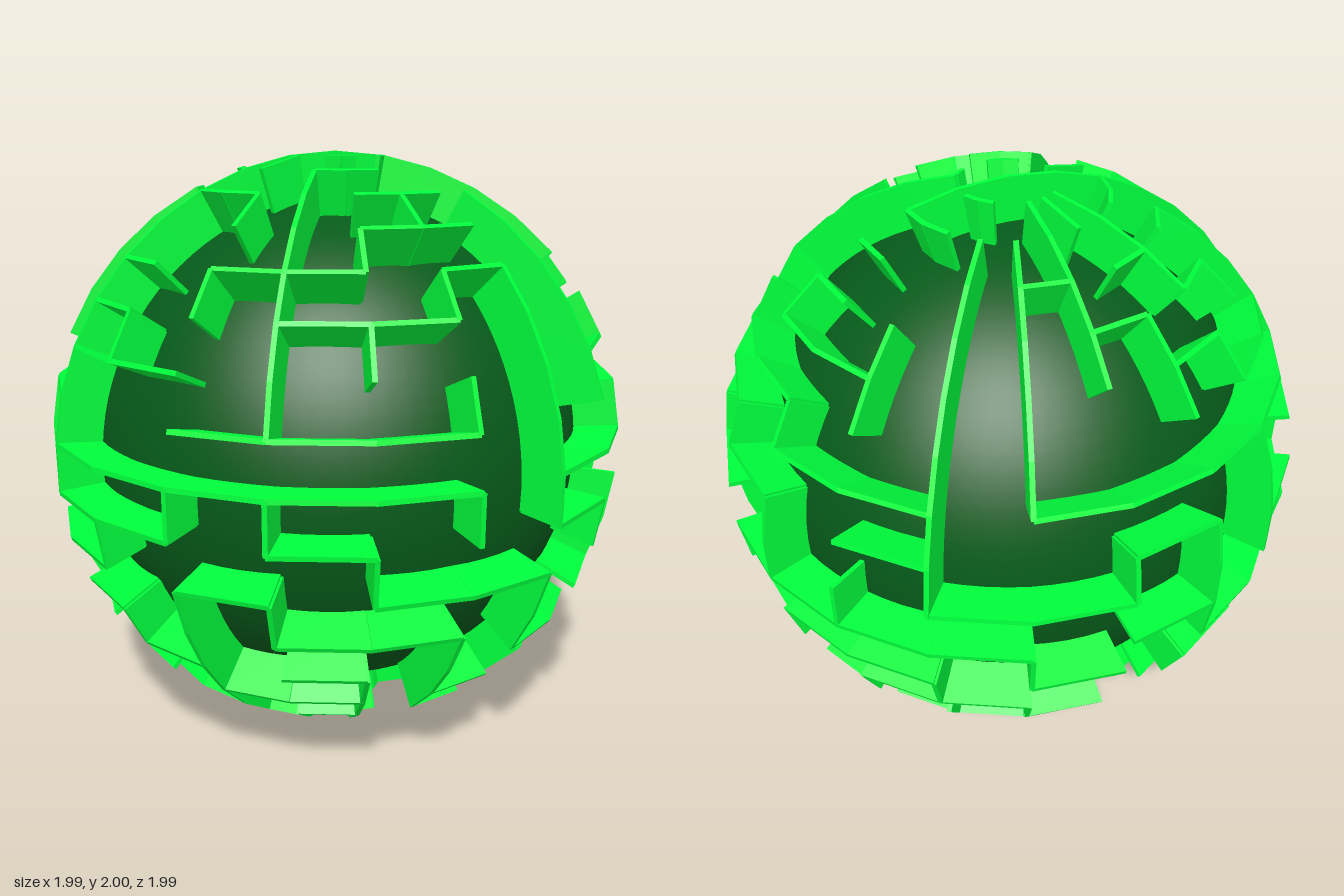
import * as THREE from 'three';
import { mergeGeometries } from 'three/addons/utils/BufferGeometryUtils.js';

const COLS = 20, ROWS = 19;           // maze grid on the sphere
const OUTER = 1, INNER = 0.83, THICK = 0.016;

// ring walls: [ring line, from meridian, to meridian]; spokes: [meridian, from ring, to ring]
// ring line 0 is the north pole; meridian 0 faces the front, counted towards +x
const regions = {
  front: {
    rings: [[3, -1, 1], [4, -1, 1], [5, 0, 1], [5, -2, -1], [6, -2, 0], [8, -3, 0], [9, -5, 0], [9, 1, 3],
      [10, -2, -1], [10, 1, 2], [11, -1, 1], [11, -3, -2], [12, -2, 0], [12, 2, 3], [13, 1, 3],
      [13, -2, -1], [14, -3, -1], [14, 0, 1], [14, 2, 3], [15, -2, -1], [15, 0, 1], [17, -1, 0]],
    spokes: [[0, 3, 4], [0, 5, 6], [0, 7, 8], [0, 9, 10], [0, 12, 15], [1, 5, 10], [1, 11, 13], [2, 3, 8],
      [2, 10, 11], [3, 10, 12], [-2, 2, 8], [-1, 4, 5], [-1, 6, 7], [-2, 9, 10], [-1, 10, 11],
      [-2, 11, 12], [-3, 11, 13], [-1, 13, 16], [2, 14, 16]],
  },
  right: {
    rings: [[4, 5, 6], [5, 3, 4], [5, 5, 7], [6, 4, 6], [7, 2, 5], [7, 6, 8], [8, 3, 4], [8, 5, 6], [8, 7, 8],
      [9, 4, 5], [10, 5, 9], [11, 6, 8], [12, 4, 6], [12, 7, 9], [13, 6, 7], [14, 4, 6],
      [15, 3, 4], [15, 5, 9], [16, 6, 8], [17, 4, 5]],
    spokes: [[3, 1, 5], [3, 6, 7], [3, 8, 9], [4, 5, 6], [4, 8, 13], [5, 4, 5], [5, 7, 8], [5, 10, 11],
      [5, 13, 14], [4, 14, 16], [6, 6, 7], [6, 8, 10], [6, 11, 12], [7, 4, 6], [7, 9, 10], [7, 12, 13],
      [7, 14, 15], [8, 2, 9], [8, 11, 12], [8, 13, 14], [6, 13, 14]],
  },
  back: {
    rings: [[3, 9, 10], [3, 11, 12], [3, 13, 14], [4, 10, 11], [4, 12, 13], [5, 11, 12], [6, 12, 14], [7, 9, 14],
      [8, 10, 11], [8, 13, 15], [9, 8, 10], [9, 12, 13], [10, 10, 11], [10, 13, 14], [11, 9, 10], [11, 11, 13],
      [12, 11, 12], [13, 9, 10], [13, 12, 13], [14, 7, 10], [14, 11, 13], [15, 11, 12]],
    spokes: [[9, 2, 7], [9, 10, 11], [9, 12, 13], [9, 15, 16], [10, 1, 5], [10, 8, 9], [10, 14, 17],
      [11, 4, 6], [11, 8, 11], [11, 12, 13], [12, 3, 4], [12, 5, 6], [12, 7, 10], [12, 14, 16],
      [13, 4, 5], [13, 10, 11], [13, 12, 14], [14, 3, 7], [14, 8, 10]],
  },
  left: {
    rings: [[3, 15, 17], [5, 15, 16], [5, 17, 18], [6, 15, 16], [7, 15, 17], [10, 15, 17], [11, 14, 16],
      [12, 15, 16], [13, 13, 15], [13, 16, 17], [14, 14, 16], [15, 14, 17], [16, 15, 18]],
    spokes: [[15, 0, 9], [17, 3, 4], [17, 5, 6], [16, 6, 7], [15, 9, 10], [17, 9, 10], [16, 10, 11],
      [14, 11, 13], [16, 12, 13], [15, 14, 15], [17, 13, 16]],
  },
  caps: {
    rings: [[1, 18, 20], [1, 2, 3], [1, 6, 8], [2, 5, 7], [2, 13, 15], [2, 18, 20], [3, 5, 6],
      [16, 1, 3], [16, 12, 14], [17, 2, 3], [17, 8, 10], [17, 13, 15], [17, 17, 18], [18, 1, 3], [18, 16, 18]],
    spokes: [[5, 0, 2], [11, 1, 2], [12, 1, 3], [16, 1, 2], [0, 17, 19], [5, 17, 19], [3, 15, 18],
      [8, 16, 18], [13, 16, 18], [16, 16, 18], [18, 15, 17]],
  },
};

function direction(meridian, ring) {
  return new THREE.Vector3().setFromSphericalCoords(
    1, Math.PI * ring / ROWS, 2 * Math.PI * meridian / COLS);
}

// one straight wall panel between two grid points, standing radially
function panel(a, b) {
  const g = new THREE.BoxGeometry(1, 1, 1);
  const normal = b.clone().cross(a).normalize();
  const p = g.attributes.position, v = new THREE.Vector3();
  for (let i = 0; i < p.count; i++) {
    v.copy(p.getX(i) > 0 ? b : a).multiplyScalar(p.getY(i) > 0 ? OUTER : INNER);
    v.addScaledVector(normal, p.getZ(i) * THICK);
    p.setXYZ(i, v.x, v.y, v.z);
  }
  g.computeVertexNormals();
  return g;
}

export function createModel() {
  const model = new THREE.Group();
  model.name = 'sphereMaze';

  // dark floor of the maze
  const core = new THREE.Mesh(
    new THREE.SphereGeometry(0.85, 80, 48),
    new THREE.MeshStandardMaterial({ color: 0x065a1a }));
  core.name = 'core';
  core.position.y = 1;
  model.add(core);

  // raised walls, one mesh per side
  const wallMaterial = new THREE.MeshStandardMaterial({ color: 0x00ff3c });
  for (const [side, { rings, spokes }] of Object.entries(regions)) {
    const panels = [];
    for (const [ring, from, to] of rings)
      for (let m = from; m < to; m++) panels.push(panel(direction(m, ring), direction(m + 1, ring)));
    for (const [m, from, to] of spokes)
      for (let r = from; r < to; r++) panels.push(panel(direction(m, r), direction(m, r + 1)));
    const walls = new THREE.Mesh(mergeGeometries(panels), wallMaterial);
    walls.name = side + 'Walls';
    walls.position.y = 1;
    model.add(walls);
  }
  return model;
}
